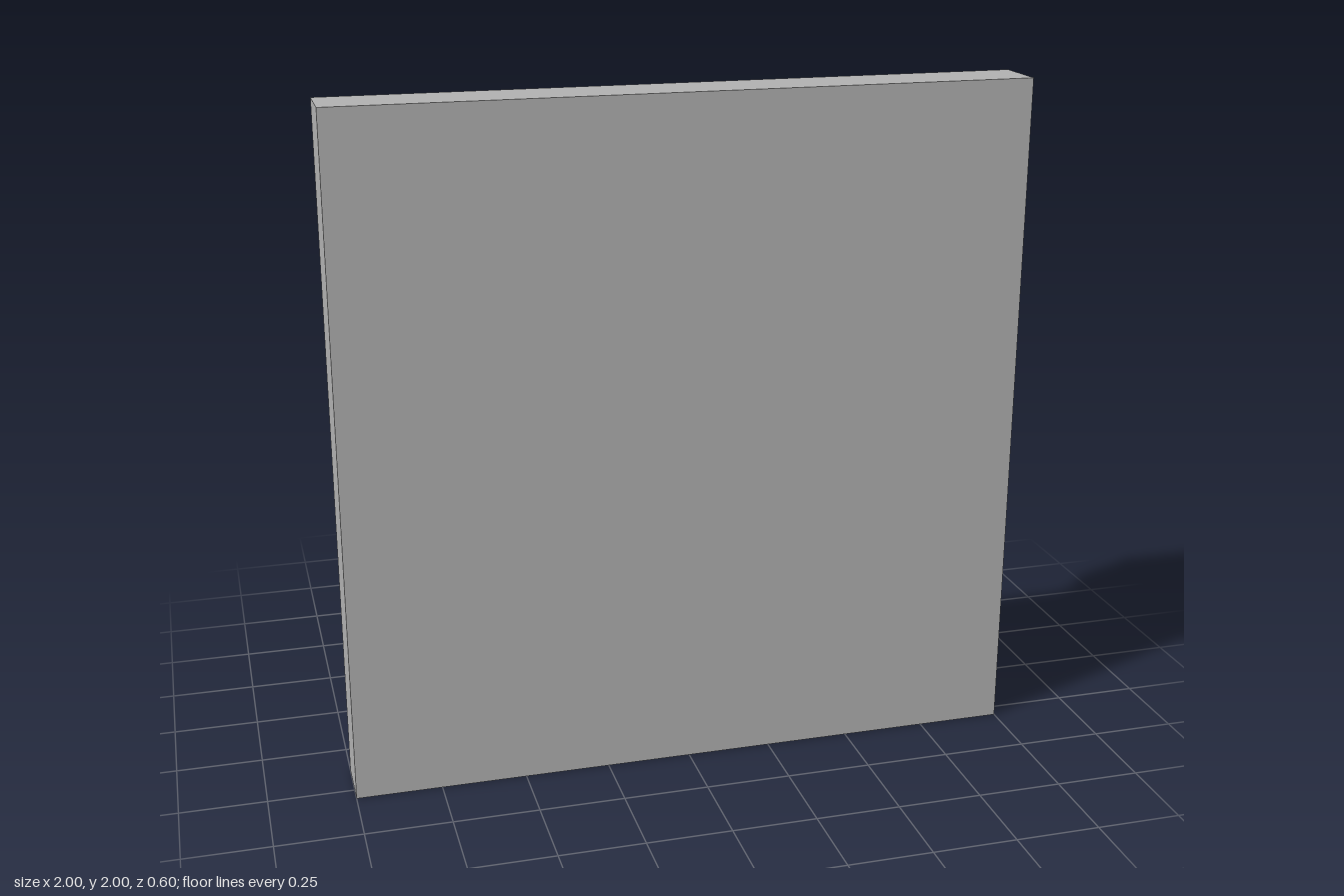
import * as THREE from 'three';

export function createModel() {
  const model = new THREE.Group();
  const grey = new THREE.MeshStandardMaterial({ color: 0xb0b0b0 });
  grey.name = 'plain grey';

  // Box given by its extents on each axis
  function box(name, x0, x1, y0, y1, z0, z1, parent = model) {
    const mesh = new THREE.Mesh(new THREE.BoxGeometry(x1 - x0, y1 - y0, z1 - z0), grey);
    mesh.position.set((x0 + x1) / 2, (y0 + y1) / 2, (z0 + z1) / 2);
    mesh.name = name;
    parent.add(mesh);
    return mesh;
  }

  // Octagonal disc facing the back, flat side up
  function octagon(name, apothem, y, z0, z1) {
    const r = apothem / Math.cos(Math.PI / 8);
    const geo = new THREE.CylinderGeometry(r, r, z1 - z0, 8, 1, false, Math.PI / 8).toNonIndexed();
    geo.computeVertexNormals();
    geo.rotateX(Math.PI / 2);
    const mesh = new THREE.Mesh(geo, grey);
    mesh.position.set(0, y, (z0 + z1) / 2);
    mesh.name = name;
    model.add(mesh);
  }

  // Wall panel with stepped backing and a bottom ledge
  box('frontPanel', -1, 1, 0, 2, 0.13, 0.3);
  box('backingPanel', -0.91, 0.91, 0.09, 1.92, 0.09, 0.13);
  box('bottomLedge', -0.9, 0.9, 0.09, 0.13, 0.08, 0.09);

  // Stepped blocks in the two upper corners
  for (const side of [-1, 1]) {
    const corner = new THREE.Group();
    corner.name = side > 0 ? 'leftCornerBlock' : 'rightCornerBlock';
    const steps = [
      [0.475, 1.48, 1.955, -0.052, 0.09],
      [0.385, 1.53, 1.912, -0.093, -0.052],
      [0.34, 1.548, 1.892, -0.132, -0.093],
    ];
    steps.forEach(([w, y0, y1, z0, z1], i) => {
      const cx = side * 0.714;
      box('cornerStep' + (i + 1), cx - w / 2, cx + w / 2, y0, y1, z0, z1, corner);
    });
    model.add(corner);
  }

  // Stepped base plate of the lever
  box('basePlate', -0.513, 0.513, 0.075, 1.178, -0.083, 0.09);
  box('baseStep', -0.427, 0.427, 0.165, 1.09, -0.13, -0.083);

  // Four small pads behind the large octagon
  for (const x of [-0.24, 0.24]) {
    for (const y of [0.345, 0.9]) {
      box('cornerPad', x - 0.1, x + 0.1, y - 0.1, y + 0.1, -0.151, -0.13);
    }
  }

  // Pivot discs
  octagon('pivotDisc', 0.33, 0.62, -0.214, -0.13);
  octagon('pivotHub', 0.165, 0.62, -0.247, -0.214);

  // Leaning lever: boxes along the lever's own axis
  const lever = new THREE.Group();
  lever.name = 'lever';
  lever.position.set(0.023, 0.613, 0);
  lever.rotation.z = THREE.MathUtils.degToRad(14);
  box('leverShaft', -0.09, 0.09, 0, 0.8, -0.292, -0.122, lever);
  box('leverHead', -0.14, 0.14, 0.776, 1.023, -0.3, -0.128, lever);
  box('leverCap', -0.117, 0.117, 1.023, 1.1, -0.278, -0.15, lever);
  box('leverTip', -0.08, 0.08, 1.1, 1.146, -0.257, -0.171, lever);
  model.add(lever);

  return model;
}
